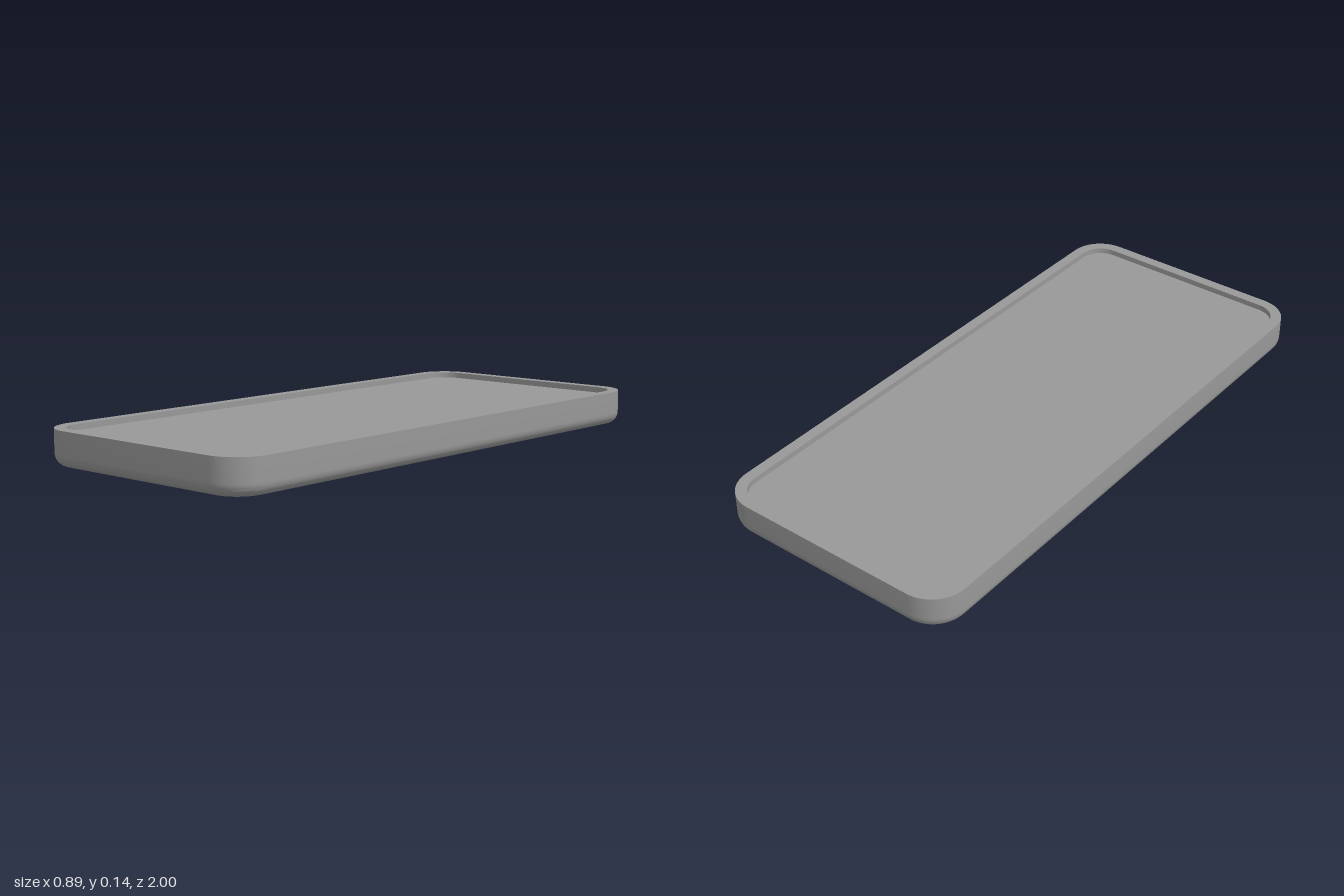
import * as THREE from 'three';
import { toCreasedNormals } from 'three/addons/utils/BufferGeometryUtils.js';

const HALF_W = 0.444, HALF_L = 1, CORNER = 0.12;
const BOTTOM = 0.019, TOP = 0.138, FLOOR = 0.118, RIM = 0.038;
const material = new THREE.MeshStandardMaterial({ color: 0x999999 });

// Rounded-rectangle outline in x/z, shrunk by an inset
function outline(inset, steps = 14) {
  const r = CORNER - inset, points = [];
  for (let corner = 0; corner < 4; corner++) {
    const sx = corner === 0 || corner === 3 ? 1 : -1;
    const sz = corner < 2 ? 1 : -1;
    for (let i = 0; i <= steps; i++) {
      const a = (corner + i / steps) * Math.PI / 2;
      points.push(new THREE.Vector2(
        sx * (HALF_W - CORNER) + r * Math.cos(a),
        sz * (HALF_L - CORNER) + r * Math.sin(a)));
    }
  }
  return points;
}

// Skin between outlines; each profile entry is [inset, height]
function loft(profile) {
  const positions = [], index = [];
  let n = 0;
  profile.forEach(([inset, y]) => {
    const ring = outline(inset);
    n = ring.length;
    ring.forEach(p => positions.push(p.x, y, p.y));
  });
  for (let k = 0; k < profile.length - 1; k++) {
    for (let j = 0; j < n; j++) {
      const a = k * n + j, b = k * n + (j + 1) % n;
      index.push(a, a + n, b, b, a + n, b + n);
    }
  }
  const geometry = new THREE.BufferGeometry();
  geometry.setAttribute('position', new THREE.Float32BufferAttribute(positions, 3));
  geometry.setIndex(index);
  return toCreasedNormals(geometry, 0.6);
}

// Flat panel filling an outline, facing up or down
function panel(inset, y, faceUp) {
  const geometry = new THREE.ShapeGeometry(new THREE.Shape(outline(inset)));
  geometry.rotateX(faceUp ? -Math.PI / 2 : Math.PI / 2);
  geometry.translate(0, y, 0);
  return geometry;
}

export function createModel() {
  const model = new THREE.Group();
  const add = (name, geometry) => {
    const mesh = new THREE.Mesh(geometry, material);
    mesh.name = name;
    model.add(mesh);
    return mesh;
  };

  // Case: rounded lower edge, straight side, flat rim, inner wall
  const filletW = 0.038, filletH = 0.042, profile = [];
  for (let i = 0; i <= 10; i++) {
    const a = i / 10 * Math.PI / 2;
    profile.push([filletW * (1 - Math.sin(a)), BOTTOM + filletH * (1 - Math.cos(a))]);
  }
  profile.push([0, TOP], [RIM, TOP], [RIM, FLOOR]);
  add('case', loft(profile));
  add('backPanel', panel(filletW, BOTTOM, false));

  // Screen set just below the rim
  add('screen', panel(RIM, FLOOR, true));

  // Camera under the back: thin rounded ring around a shallow domed lens
  const v = (x, y) => new THREE.Vector2(x, y);
  const ring = [v(0.058, 0.008), v(0.059, 0.004), v(0.061, 0.002)];
  for (let i = 0; i <= 6; i++) {
    const a = i / 6 * Math.PI / 2;
    ring.push(v(0.064 + 0.007 * Math.sin(a), 0.009 - 0.007 * Math.cos(a)));
  }
  ring.push(v(0.071, 0.021));
  const dome = [];
  for (let i = 0; i <= 8; i++) {
    const t = i / 8;
    dome.push(v(0.0585 * t, 0.006 * t * t));
  }
  const lathe = points => toCreasedNormals(new THREE.LatheGeometry(points, 48), 0.6);
  add('cameraRing', lathe(ring)).position.set(-0.2, 0, 0.755);
  add('cameraLens', lathe(dome)).position.set(-0.2, 0, 0.755);

  return model;
}
